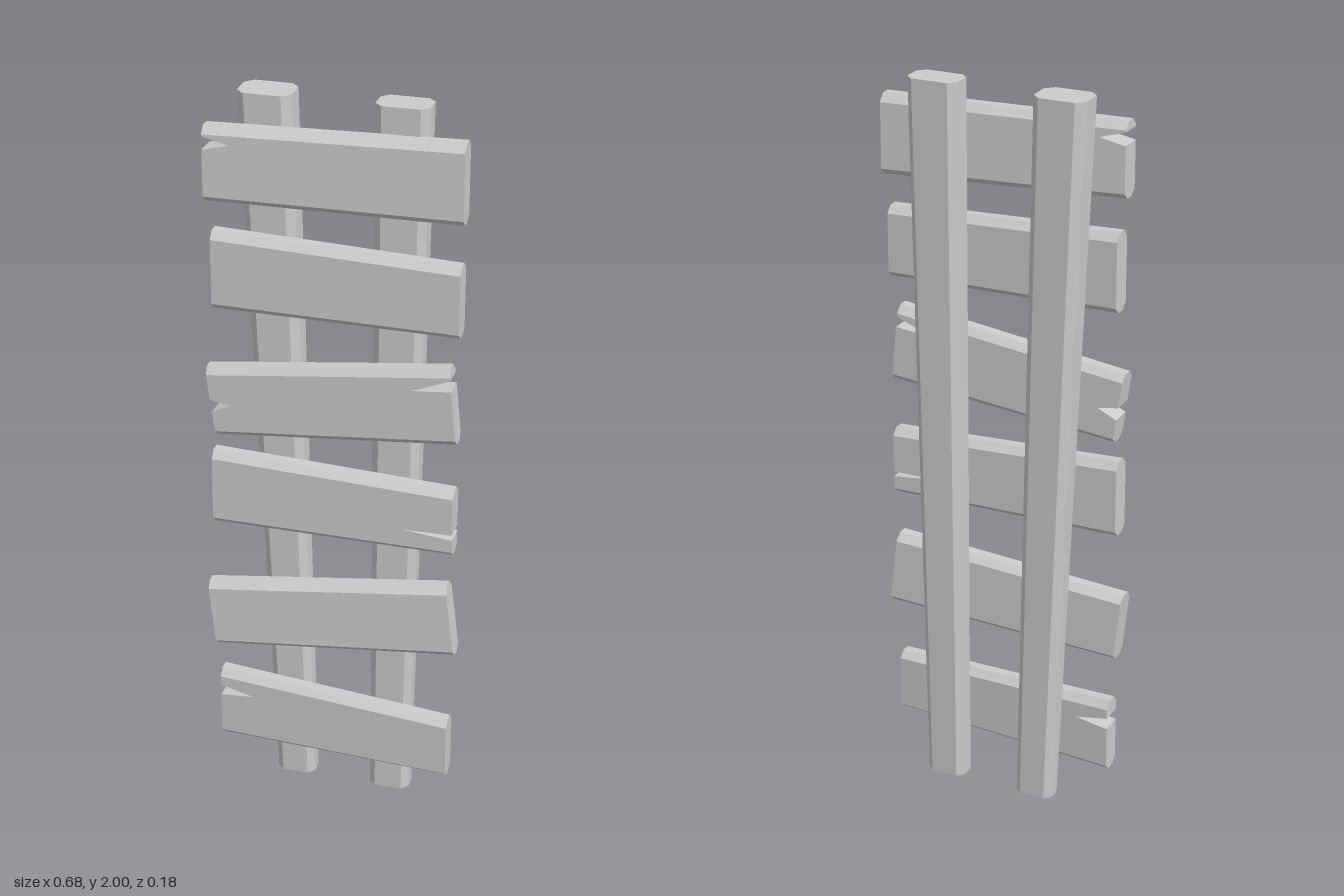
import * as THREE from 'three';

const lerp = THREE.MathUtils.lerp;
const material = new THREE.MeshStandardMaterial({ color: 0xcccccc, flatShading: true });

// Skin a row of convex cross-sections, cap both ends; skip(row, edge) leaves a quad out.
function loft(sections, skip = () => false) {
  const pos = [];
  const tri = (...pts) => pts.forEach((p) => pos.push(...p));
  const n = sections[0].length;
  for (let s = 0; s < sections.length - 1; s++) {
    const a = sections[s], b = sections[s + 1];
    for (let i = 0; i < n; i++) {
      if (skip(s, i)) continue;
      const j = (i + 1) % n;
      tri(a[i], a[j], b[j]);
      tri(a[i], b[j], b[i]);
    }
  }
  const first = sections[0], last = sections[sections.length - 1];
  for (let i = 1; i < n - 1; i++) {
    tri(first[0], first[i + 1], first[i]);
    tri(last[0], last[i], last[i + 1]);
  }
  const g = new THREE.BufferGeometry();
  g.setAttribute('position', new THREE.Float32BufferAttribute(pos, 3));
  g.computeVertexNormals();
  return g;
}

function mesh(name, geometry) {
  const m = new THREE.Mesh(geometry, material);
  m.name = name;
  return m;
}

// Chamfered rectangle lying flat at height y
function railSection(y, [x0, x1, z0, z1], c) {
  return [
    [x0 + c, z1], [x1 - c, z1], [x1, z1 - c], [x1, z0 + c],
    [x1 - c, z0], [x0 + c, z0], [x0, z0 + c], [x0, z1 - c],
  ].map(([x, z]) => [x, y, z]);
}

// Plank: four front corners, depth at each end, optional split in each end.
// A split is [u of tip, v of tip, v of lower lip, v of upper lip].
function makePlank({ name, tl, tr, bl, br, z, left, right }) {
  const t = 0.031, c = 0.018, top = 0.9, low = 0.08;
  const point = (u, v, dz) => [
    lerp(lerp(bl[0], br[0], u), lerp(tl[0], tr[0], u), v),
    lerp(lerp(bl[1], br[1], u), lerp(tl[1], tr[1], u), v),
    lerp(z[0], z[1], u) + dz,
  ];
  // stations along the plank: [u, lower lip, upper lip]
  const L = left ?? [0.15, 0.5, 0.5, 0.5];
  const R = right ?? [0.85, 0.5, 0.5, 0.5];
  const stations = [[0, L[2], L[3]], [L[0], L[1], L[1]], [R[0], R[1], R[1]], [1, R[2], R[3]]];
  // without a split on one side, keep the other side's line
  if (!left) stations[0][1] = stations[0][2] = stations[1][1] = stations[1][2] = R[1];
  if (!right) stations[2][1] = stations[2][2] = stations[3][1] = stations[3][2] = L[1];
  const closed = (s) => [s, s + 1].every((k) => stations[k][1] === stations[k][2]);

  const upper = stations.map(([u, , v]) => [
    [1, c - t], [1, t - c], [top, t], [v, t], [v, -t], [top, -t],
  ].map(([w, dz]) => point(u, w, dz)));
  const lower = stations.map(([u, v]) => [
    [v, -t], [v, t], [low, t], [0, t - c], [0, c - t], [low, -t],
  ].map(([w, dz]) => point(u, w, dz)));

  const plank = new THREE.Group();
  plank.name = name;
  plank.add(
    mesh(name + 'UpperHalf', loft(upper, (s, i) => i === 3 && closed(s))),
    mesh(name + 'LowerHalf', loft(lower, (s, i) => i === 0 && closed(s))),
  );
  return plank;
}

const planks = [
  { tl: [-0.325, 0.323], tr: [0.33, 0.295], bl: [-0.325, 0.11], br: [0.33, 0.116],
    z: [0.01, 0.057], left: [0.145, 0.69, 0.625, 0.775] },
  { tl: [-0.341, 0.625], tr: [0.31, 0.69], bl: [-0.32, 0.43], br: [0.336, 0.478], z: [0.053, 0.015] },
  { tl: [-0.325, 1.02], tr: [0.33, 0.99], bl: [-0.325, 0.805], br: [0.33, 0.8],
    z: [0.04, 0.04], right: [0.79, 0.33, 0.27, 0.35] },
  { tl: [-0.336, 1.265], tr: [0.315, 1.345], bl: [-0.31, 1.07], br: [0.336, 1.13],
    z: [0.045, 0.05], left: [0.085, 0.46, 0.36, 0.54], right: [0.84, 0.73, 0.72, 0.86] },
  { tl: [-0.315, 1.645], tr: [0.336, 1.62], bl: [-0.315, 1.43], br: [0.336, 1.425], z: [0.04, 0.043] },
  { tl: [-0.325, 1.93], tr: [0.333, 1.93], bl: [-0.325, 1.73], br: [0.333, 1.715],
    z: [0.057, 0.01], left: [0.106, 0.78, 0.7, 0.875] },
];

export function createModel() {
  const model = new THREE.Group();
  model.name = 'woodenLadder';

  // Two uprights, widening towards the top
  model.add(
    mesh('rightRail', loft([
      railSection(0, [-0.175, -0.068, -0.063, 0.005], 0.018),
      railSection(2, [-0.262, -0.12, -0.092, 0.012], 0.022),
    ])),
    mesh('leftRail', loft([
      railSection(0, [0.093, 0.204, -0.063, 0.008], 0.018),
      railSection(2, [0.094, 0.234, -0.076, 0.012], 0.02),
    ])),
  );

  // Crooked cross planks from bottom to top
  planks.forEach((p, i) => model.add(makePlank({ name: 'plank' + (i + 1), ...p })));
  return model;
}
